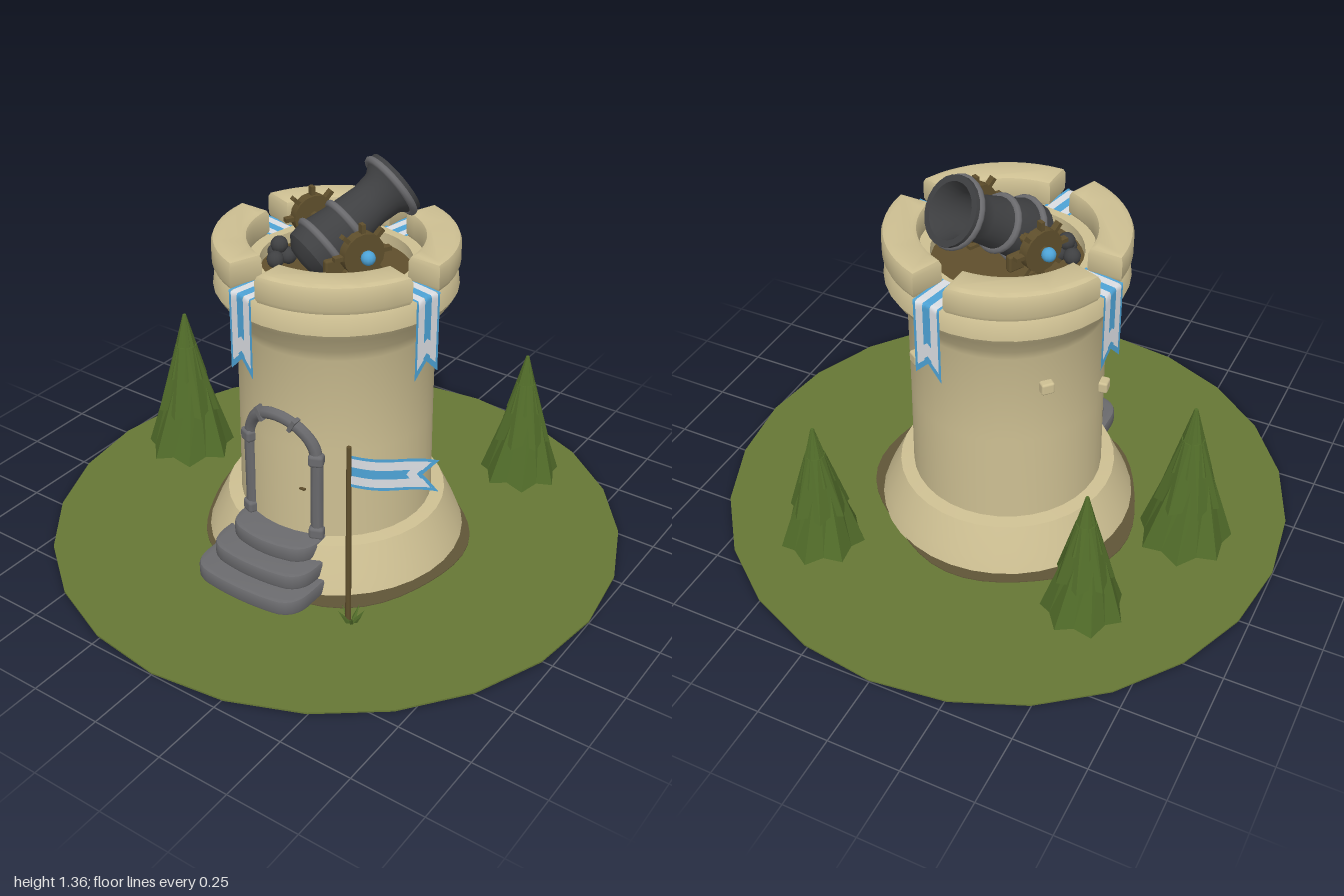
import * as THREE from 'three';
import { toCreasedNormals } from 'three/addons/utils/BufferGeometryUtils.js';
import { RoundedBoxGeometry } from 'three/addons/geometries/RoundedBoxGeometry.js';

const PI = Math.PI;
const mat = (name, color, extra = {}) => {
  const m = new THREE.MeshStandardMaterial({ color, ...extra });
  m.name = name;
  return m;
};

export function createModel() {
  const root = new THREE.Group();
  root.name = 'cannonTower';
  const M = {
    grass: mat('grass', 0x667735),
    dirt: mat('dirt', 0x5f5537),
    sand: mat('sandstone', 0xcdbf92),
    stone: mat('greyStone', 0x6a6a6d),
    iron: mat('iron', 0x3f4042),
    wood: mat('wood', 0x5f4f2c),
    leaf: mat('foliage', 0x526d2a, { flatShading: true }),
    blue: mat('blueCloth', 0x4da3d6, { side: THREE.DoubleSide }),
    white: mat('whiteCloth', 0xdadde2, { side: THREE.DoubleSide }),
  };
  const add = (name, geo, material, pos = [0, 0, 0], parent = root) => {
    const m = new THREE.Mesh(geo, material);
    m.name = name;
    m.position.set(...pos);
    parent.add(m);
    return m;
  };
  const group = (name, parent = root) => {
    const g = new THREE.Group();
    g.name = name;
    parent.add(g);
    return g;
  };
  const lathe = (pts, seg) =>
    toCreasedNormals(new THREE.LatheGeometry(pts.map(p => new THREE.Vector2(...p)), seg), 0.6);
  // Horizontal slab from a plan shape (shape y is -z), bevel included in height
  const slab = (shape, h, b) => {
    const g = new THREE.ExtrudeGeometry(shape, {
      depth: h - 2 * b, bevelEnabled: b > 0, bevelSize: b, bevelThickness: b, bevelSegments: 2, curveSegments: 6,
    });
    g.rotateX(-PI / 2).translate(0, b, 0);
    return toCreasedNormals(g, 0.7);
  };
  const blob = (r, n = 48) => new THREE.Shape(Array.from({ length: n }, (_, i) => {
    const a = i / n * 2 * PI;
    return new THREE.Vector2(Math.cos(a) * r(a), Math.sin(a) * r(a));
  }));

  // Ground layers
  add('grassDisc', new THREE.CylinderGeometry(1, 1, 0.006, 24), M.grass, [0, 0.007, 0]);
  add('dirtPatch', slab(blob(a => 0.48 + 0.025 * Math.cos(2 * a + 1.2) + 0.012 * Math.sin(5 * a)), 0.011, 0), M.dirt, [0, 0.002, 0]);
  add('foundation', slab(blob(a => 0.25 + 0.03 * Math.cos(2 * a - 4.5) + 0.02 * Math.sin(5 * a)), 0.01, 0), M.iron, [-0.04, 0, -0.04]);

  // Tower: flared foot, straight shaft, corbelled top and inner wall
  add('towerWall', lathe([
    [0.45, 0.01], [0.43, 0.06], [0.38, 0.165], [0.333, 0.17], [0.33, 0.5], [0.33, 0.84], [0.345, 0.88],
    [0.39, 0.945], [0.402, 0.965], [0.395, 1.02], [0.38, 1.04], [0.25, 1.04], [0.25, 0.99],
  ], 36), M.sand);
  const floor = add('topFloor', new THREE.CircleGeometry(0.26, 32), M.wood, [0, 1.0, 0]);
  floor.rotation.x = -PI / 2;

  // Cloth strip: at(u, d) gives a point, u across in -1..1, d distance along; swallow-tailed end
  const ribbon = (name, at, length, notch, parent) => {
    const g = group(name, parent);
    const side = [
      [M.blue, 0.82, 1, 0, 1], [M.white, 0.28, 0.82, 0, 0.94], [M.blue, 0.28, 0.82, 0.94, 1],
      [M.blue, 0, 0.28, 0, 0.78], [M.white, 0, 0.28, 0.78, 0.92], [M.blue, 0, 0.28, 0.92, 1],
    ];
    for (const s of [-1, 1]) for (const [m, u0, u1, a, b] of side) {
      const geo = new THREE.PlaneGeometry(1, 1, 1, 24);
      const p = geo.attributes.position;
      for (let i = 0; i < p.count; i++) {
        const u = s * (u0 + (u1 - u0) * (0.5 + s * p.getX(i)));
        const t = a + (b - a) * (0.5 - p.getY(i));
        p.setXYZ(i, ...at(u, t * (length - notch * (1 - Math.abs(u)))));
      }
      geo.computeVertexNormals();
      add('clothStripe', geo, m, [0, 0, 0], g);
    }
    return g;
  };

  // Four battlements with a draped banner in each gap
  const merlon = new THREE.Shape();
  merlon.absarc(0, 0, 0.383, -PI / 2 - 0.59, -PI / 2 + 0.59, false);
  merlon.absarc(0, 0, 0.305, -PI / 2 + 0.58, -PI / 2 - 0.58, true);
  const merlonGeo = slab(merlon, 0.1, 0.02);
  for (let i = 0; i < 4; i++) {
    const a = -0.2 + i * PI / 2;
    add('battlement', merlonGeo, M.sand, [0, 1.032, 0]).rotation.y = a + PI / 4;
    const edge = 0.14;
    ribbon('banner', (u, d) => d < edge
      ? [u * 0.052, 1.047, 0.27 + d]
      : [u * 0.052, 1.047 - (d - edge), 0.41], edge + 0.28, 0.055).rotation.y = a;
  }

  // Loose wall bricks
  for (const [x, y, z] of [[0.31, 0.39, 0.125], [0.19, 0.725, -0.275], [-0.333, 0.565, 0.04], [-0.245, 0.72, -0.225]])
    add('wallBrick', new RoundedBoxGeometry(0.045, 0.042, 0.045, 2, 0.008), M.sand, [x, y, z]).rotation.y = Math.atan2(x, z);

  // Doorway: arch wrapped on the round wall
  const door = group('doorway');
  const onWall = (x, y) => new THREE.Vector3(x, y, Math.sqrt(0.332 ** 2 - x * x));
  const arch = [onWall(-0.135, 0.16), onWall(-0.135, 0.32)];
  for (let i = 0; i <= 10; i++) {
    const a = PI - i / 10 * PI;
    arch.push(onWall(0.135 * Math.cos(a), 0.47 + 0.14 * Math.sin(a)));
  }
  arch.push(onWall(0.135, 0.32), onWall(0.135, 0.16));
  add('doorArch', new THREE.TubeGeometry(new THREE.CatmullRomCurve3(arch), 48, 0.022, 8), M.stone, [0, 0, 0], door);
  for (const s of [-1, 1]) {
    for (const y of [0.19, 0.475]) {
      const p = onWall(s * 0.135, y);
      add('archBlock', new RoundedBoxGeometry(0.052, 0.045, 0.055, 2, 0.012), M.stone, p.toArray(), door).rotation.y = s * 0.4;
    }
    const q = onWall(s * 0.066, 0.595);
    add('archJoint', new THREE.BoxGeometry(0.014, 0.05, 0.05), M.stone, q.toArray(), door).rotation.z = -s * 0.5;
  }
  add('doorHandle', new THREE.BoxGeometry(0.02, 0.006, 0.01), M.wood, [0.09, 0.35, 0.322], door);

  // Rounded steps
  [[0.215, 0.57, 0.005], [0.195, 0.505, 0.06], [0.165, 0.435, 0.115]].forEach(([w, d, y]) => {
    const b = 0.012, x = w - b, f = d - b;
    const s = new THREE.Shape();
    s.moveTo(-x, -0.22);
    s.lineTo(-x, -f + 0.1);
    s.quadraticCurveTo(-x, -f + 0.02, -x + 0.07, -f + 0.01);
    s.quadraticCurveTo(0, -f - 0.01, x - 0.07, -f + 0.01);
    s.quadraticCurveTo(x, -f + 0.02, x, -f + 0.1);
    s.lineTo(x, -0.22);
    add('step', slab(s, 0.058, b), M.stone, [0, y, 0]);
  });

  // Cannon on its wheeled carriage, turned on the roof
  const cannon = group('cannon');
  cannon.position.y = 1.125;
  cannon.rotation.y = -0.47;
  const barrel = group('barrel', cannon);
  barrel.rotation.x = -1.01;
  add('barrelTube', lathe([
    [0, -0.15], [0.06, -0.142], [0.095, -0.115], [0.102, -0.06], [0.088, 0.02], [0.075, 0.14], [0.082, 0.2],
    [0.113, 0.24], [0.113, 0.26], [0.092, 0.26], [0.068, 0.2], [0.062, 0.06], [0, 0.06],
  ], 24), M.iron, [0, 0, 0], barrel);
  for (const [r, y] of [[0.1, -0.06], [0.086, 0.045], [0.108, 0.235]])
    add('barrelBand', new THREE.TorusGeometry(r, 0.013, 8, 24), M.stone, [0, y, 0], barrel).rotation.x = PI / 2;
  add('axle', new THREE.CylinderGeometry(0.018, 0.018, 0.4, 8), M.wood, [0, 0, 0], cannon).rotation.z = PI / 2;
  for (const s of [-1, 1]) {
    const wheel = group('wheel', cannon);
    wheel.position.x = s * 0.17;
    add('wheelDisc', new THREE.CylinderGeometry(0.072, 0.072, 0.035, 16), M.wood, [0, 0, 0], wheel).rotation.z = PI / 2;
    for (let i = 0; i < 8; i++) {
      const a = i / 8 * 2 * PI;
      add('wheelPeg', new THREE.BoxGeometry(0.022, 0.05, 0.014), M.wood,
        [0, 0.076 * Math.cos(a), 0.076 * Math.sin(a)], wheel).rotation.x = a;
    }
    add('wheelHub', new THREE.SphereGeometry(0.024, 12, 8), M.blue, [s * 0.04, 0, 0], wheel);
    for (let i = 0; i < 4; i++)
      add('floorPlank', new THREE.BoxGeometry(0.02, 0.012, 0.09), M.wood,
        [s * (0.12 + i * 0.026), -0.119, (i % 2) * 0.05 - 0.025], cannon);
    add('carriageSide', new RoundedBoxGeometry(0.025, 0.06, 0.18, 2, 0.008), M.wood, [s * 0.105, -0.06, 0.01], cannon);
  }
  for (const [x, y, z] of [[-0.2, 1.03, 0.06], [-0.165, 1.03, 0.11], [-0.15, 1.03, 0.06], [-0.172, 1.07, 0.078]])
    add('cannonball', new THREE.SphereGeometry(0.029, 12, 8), M.iron, [x, y, z]);

  // Flagpole with pennant and grass tuft
  const pole = group('flagpole');
  pole.position.set(0.355, 0, 0.44);
  add('pole', new THREE.CylinderGeometry(0.008, 0.01, 0.67, 8), M.wood, [0, 0.34, 0], pole);
  ribbon('pennant', (u, d) => [d, 0.588 + u * 0.057, 0.012 * Math.sin(d * 20)], 0.275, 0.05, pole).rotation.y = 0.48;
  for (let i = 0; i < 7; i++) {
    const a = i * 2.4;
    const blade = add('grassBlade', new THREE.ConeGeometry(0.009, 0.055, 4), M.leaf,
      [0.012 + 0.028 * Math.cos(a), 0.03, 0.028 * Math.sin(a)], pole);
    blade.rotation.set(0.6 * Math.sin(a), 0, -0.6 * Math.cos(a));
  }

  // Trees: overlapping pleated tiers, each slightly twisted
  const tier = (r0, r1, h, twist) => {
    const n = 14, g = new THREE.CylinderGeometry(r1, r0, h, n, 1);
    const p = g.attributes.position;
    for (let i = 0; i < p.count; i++) {
      const x = p.getX(i), z = p.getZ(i), y = p.getY(i);
      if (y > 0 || Math.hypot(x, z) < 0.001) continue;
      const k = Math.round(Math.atan2(x, z) / (2 * PI) * n + n) % 2;
      const f = k ? 0.86 : 1.02, c = Math.cos(twist), s = Math.sin(twist);
      p.setXYZ(i, (x * c - z * s) * f, y + (k ? 0.018 : 0), (x * s + z * c) * f);
    }
    return g;
  };
  [[-0.68, -0.01, 0.62, 0.16], [-0.5, -0.47, 0.55, 0.138], [0.43, -0.565, 0.55, 0.142]].forEach(([x, z, h, r], i) => {
    const tree = group('tree');
    tree.position.set(x, 0, z);
    tree.rotation.y = i * 1.3;
    add('trunk', new THREE.CylinderGeometry(0.03, 0.035, 0.12, 8), M.wood, [0, 0.065, 0], tree);
    const H = h - 0.065;
    for (const [a, b, r0, r1, t] of [[0, 0.55, 1, 0.42, 0.25], [0.3, 0.78, 0.7, 0.24, -0.2], [0.55, 1, 0.44, 0.04, 0.25]])
      add('foliageTier', tier(r * r0, r * r1, H * (b - a), t), M.leaf, [0, 0.065 + H * (a + b) / 2, 0], tree);
  });

  return root;
}
